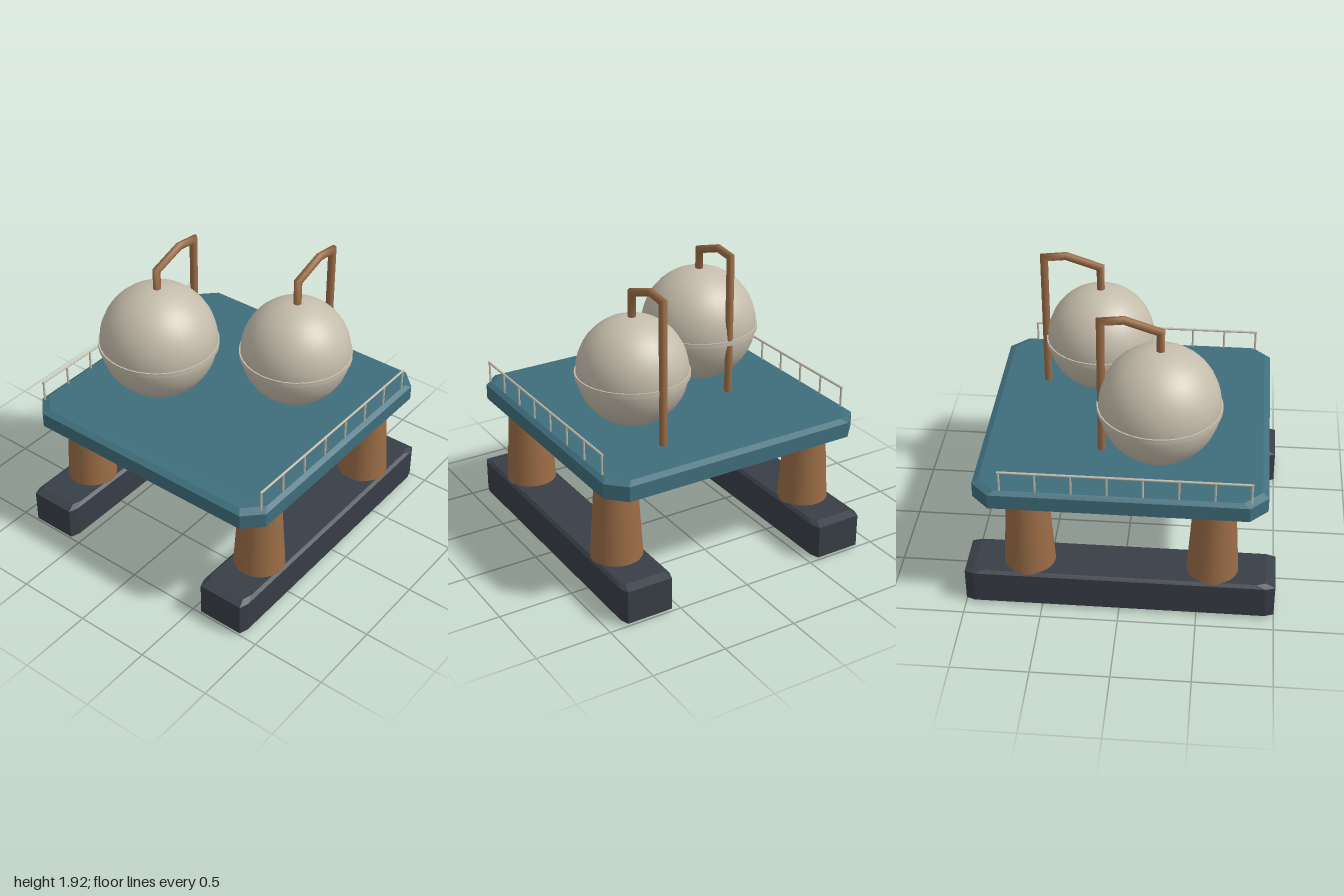
import * as THREE from 'three';

const paint = (name, color) => Object.assign(new THREE.MeshStandardMaterial({ color }), { name });

// Box with cut vertical corners and bevelled top and bottom rims.
function chamferedSlab(w, h, d, cut, inset, bevelY) {
  const ring = (y, ix, iz) => {
    const x = w / 2 - ix, z = d / 2 - iz;
    const cx = x - cut[0], cz = z - cut[1];
    return [[x, cz], [cx, z], [-cx, z], [-x, cz], [-x, -cz], [-cx, -z], [cx, -z], [x, -cz]]
      .map(([px, pz]) => [px, y, pz]);
  };
  const rings = [ring(0, ...inset), ring(bevelY, 0, 0), ring(h - bevelY, 0, 0), ring(h, ...inset)];
  const pos = [];
  for (let r = 0; r < 3; r++) {
    for (let i = 0; i < 8; i++) {
      const j = (i + 1) % 8;
      const a = rings[r][i], b = rings[r][j], c = rings[r + 1][j], e = rings[r + 1][i];
      pos.push(...a, ...c, ...b, ...a, ...e, ...c);
    }
  }
  for (let i = 1; i < 7; i++) {
    pos.push(...rings[0][0], ...rings[0][i], ...rings[0][i + 1]);
    pos.push(...rings[3][0], ...rings[3][i + 1], ...rings[3][i]);
  }
  const g = new THREE.BufferGeometry();
  g.setAttribute('position', new THREE.Float32BufferAttribute(pos, 3));
  g.computeVertexNormals();
  return g;
}

// Round pipe with mitred bends along a path of [z, y] points.
function mitredPipe(path, r, sides = 12) {
  const pts = path.map(([z, y]) => new THREE.Vector2(z, y));
  const normal = (a, b) => {
    const t = b.clone().sub(a).normalize();
    return new THREE.Vector2(-t.y, t.x);
  };
  const pos = [], index = [];
  pts.forEach((p, k) => {
    const n0 = normal(pts[Math.max(k - 1, 0)], pts[Math.max(k, 1)]);
    const n1 = k < pts.length - 1 ? normal(p, pts[k + 1]) : n0;
    const m = n0.clone().add(n1).normalize();
    m.multiplyScalar(r / m.dot(n0));
    for (let i = 0; i < sides; i++) {
      const a = (i / sides) * Math.PI * 2;
      pos.push(r * Math.cos(a), p.y + m.y * Math.sin(a), p.x + m.x * Math.sin(a));
      if (k < pts.length - 1) {
        const q = k * sides + i, s = k * sides + (i + 1) % sides;
        index.push(q, s, q + sides, s, s + sides, q + sides);
      }
    }
  });
  const g = new THREE.BufferGeometry();
  g.setAttribute('position', new THREE.Float32BufferAttribute(pos, 3));
  g.setIndex(index);
  g.computeVertexNormals();
  return g;
}

export function createModel() {
  const model = new THREE.Group();
  model.name = 'offshorePlatform';
  const navy = paint('hullCharcoal', 0x383e47);
  const teal = paint('deckTeal', 0x3f6e7c);
  const rust = paint('copperBrown', 0x9a6c46);
  const cream = paint('tankCream', 0xc4bcab);
  const pipeMat = rust.clone();
  pipeMat.dispose();
  rust.side = THREE.DoubleSide;

  const add = (name, geo, mat, x, y, z, parent = model) => {
    const mesh = new THREE.Mesh(geo, mat);
    mesh.name = name;
    mesh.position.set(x, y, z);
    parent.add(mesh);
    return mesh;
  };

  // Pontoons, legs and side railings
  const pontoon = chamferedSlab(0.35, 0.26, 2, [0.02, 0.06], [0.02, 0.06], 0.018);
  const leg = new THREE.CylinderGeometry(0.133, 0.168, 0.55, 24);
  const post = new THREE.CylinderGeometry(0.007, 0.007, 0.14, 8);
  const rail = new THREE.CylinderGeometry(0.008, 0.008, 1.57, 8).rotateX(Math.PI / 2);
  for (const [side, s] of [['left', 1], ['right', -1]]) {
    add(side + 'Pontoon', pontoon, navy, s * 0.72, 0, 0);
    add(side + 'FrontLeg', leg, rust, s * 0.72, 0.525, 0.593);
    add(side + 'BackLeg', leg, rust, s * 0.72, 0.525, -0.593);

    const railing = new THREE.Group();
    railing.name = side + 'Railing';
    model.add(railing);
    add('topRail', rail, cream, s * 0.89, 1.065, 0.04, railing);
    for (let i = 0; i < 8; i++) {
      add('railPost', post, cream, s * 0.89, 0.995, 0.817 - i * 0.222, railing);
    }
  }

  // Deck
  add('deck', chamferedSlab(1.85, 0.14, 1.85, [0.115, 0.115], [0.03, 0.04], 0.02), teal, 0, 0.79, 0);

  // Spherical tanks, each with a girdle and an overhead pipe down to the deck
  const pipe = mitredPipe(
    [[0, 1.6], [0, 1.815], [-0.225, 1.89], [-0.37, 1.873], [-0.37, 0.92]], 0.026);
  for (const [name, x, z, r] of [['rightTank', -0.4, 0.22, 0.388], ['leftTank', 0.38, -0.226, 0.359]]) {
    const tank = new THREE.Group();
    tank.name = name;
    tank.position.set(x, 0, z);
    model.add(tank);
    add('tankSphere', new THREE.SphereGeometry(r, 32, 20), cream, 0, 1.3, 0, tank);
    add('tankGirdle', new THREE.CylinderGeometry(r + 0.009, r + 0.009, 0.032, 40), cream, 0, 1.281, 0, tank);
    add('transferPipe', pipe, rust, 0, 0, 0, tank);
  }
  return model;
}
